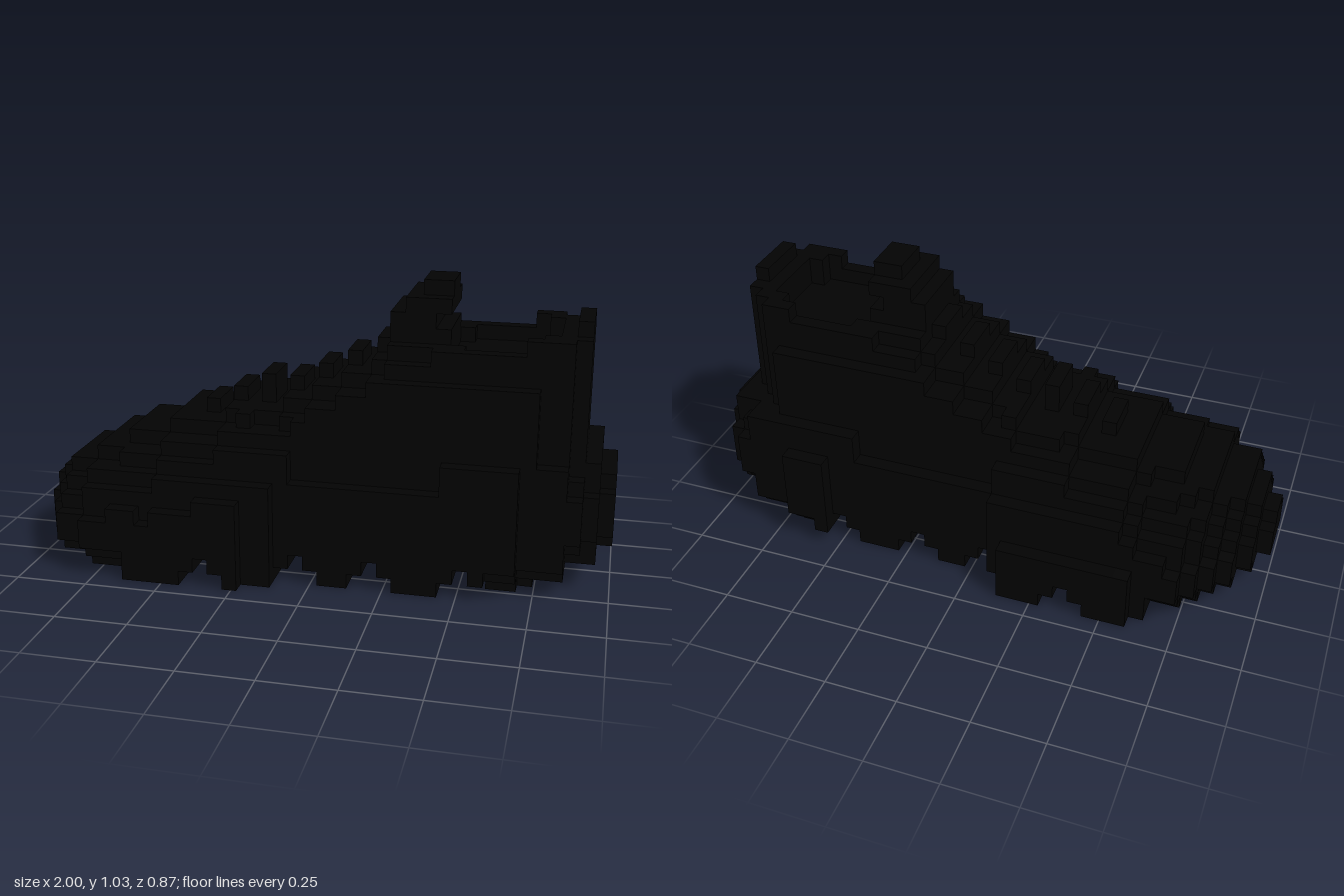
import * as THREE from 'three';

// Grid: 39 cells long (x), 20 high (y), 17 deep (z)
const NX = 39, NY = 20, R = 8, S = 2 / NX;

// [value, count] runs expanded to one value per column, toe to heel
const runs = (...pairs) => pairs.flatMap(([v, n]) => Array(n).fill(v));
const TOP = runs([5, 1], [6, 1], [7, 2], [8, 2], [9, 3], [10, 4], [11, 4], [12, 2], [13, 2],
  [14, 2], [15, 1], [16, 3], [17, 1], [16, 5], [17, 3], [18, 1], [9, 1], [8, 1]);
const BOTTOM = [2, 1, 1, 1, 0, 0, 0, 0, 0, 0, 0, 1, 2, 1, 0, 0, 0, 1, 2, 1, 0, 0, 1, 2, 1,
  0, 0, 0, 1, 2, 1, 0, 0, 0, 1, 1, 2, 2, 3];
// Plan outline: last filled cell on the back and front sides
const BACK = runs([0, 1], [-2, 1], [-4, 1], [-5, 1], [-6, 1], [-7, 3], [-8, 9], [-7, 1],
  [-6, 12], [-7, 3], [-6, 4], [-5, 1], [-3, 1]);
const FRONT = runs([3, 1], [5, 1], [7, 2], [8, 11], [7, 2], [6, 16], [5, 4], [4, 1], [3, 1]);
// Widest half depth allowed at each height
const CAP = runs([8, 6], [7, 1], [6, 2], [5, 5], [4, 3], [2, 2], [1, 1]);
// Upright collar extent [back, front] at the last heel columns
const COLLAR = { 34: [-4, 4], 35: [-3, 4], 36: [-2, 3] };

// Rounded shell: domed over the toe, upright at the ankle, bulging at the heel
function inBody(i, j, k) {
  const h = TOP[i];
  if (j < BOTTOM[i] || j >= h) return false;
  const p = 3 + 6 * Math.min(1, Math.max(0, (i - 10) / 14));
  const mid = (BACK[i] + FRONT[i]) / 2;
  let half = (FRONT[i] - BACK[i]) / 2;
  if (i < 28) half *= Math.sqrt(1 - ((j + 0.5) / h) ** p);
  if (i > 35 && j < 9) half *= Math.sqrt(1 - ((j - 5) / (i === 38 ? 2.4 : 4.3)) ** 2);
  // rounded lower edge under toe and heel
  if (i < 7 || i > 30) half -= Math.max(0, 2 - j);
  else if (j === 0 && i > 27) half -= 1;
  if (Math.abs(k - mid) > half + 0.5) return false;
  let cap = CAP[j];
  if (k < 0 && j > 3) cap = Math.min(cap, 7);
  if (j >= 7 && i > 17 && i < 28) cap = Math.min(cap, 5);
  if (j >= 16 && i < 28) cap = 2;
  if (Math.abs(k) > cap) return false;
  // heel tab sits slightly off centre
  if (j === 17) return k >= -1;
  const [lo, hi] = (j >= 9 && COLLAR[i]) || [-R, R];
  return k >= lo && k <= hi;
}

// Shallow foot opening with clipped corners
function inOpening(i, j, k) {
  return j >= 15 && i >= 28 && i <= 34 && Math.abs(k) <= (i === 28 || i === 34 ? 2 : 3);
}

function inTongue(i, j, k) {
  if (j < 14 || i < 24 || i > 27 || Math.abs(k) > CAP[j]) return false;
  if (i === 27) return j >= 18;
  return Math.abs(k) <= 2 && j < [18, 19, 20][i - 24];
}

// Lace bars rise above every second column of the instep
const LACE_TOP = { 11: 11, 13: 12, 15: 13, 17: 13, 19: 14, 21: 15, 23: 16 };
function inLace(i, j, k) {
  const t = LACE_TOP[i];
  return t !== undefined && j < t && j >= TOP[i] - 1 && Math.abs(k) <= 1;
}

function partAt(i, j, k) {
  if (i < 0 || i >= NX || j < 0 || j >= NY || Math.abs(k) > R) return null;
  if (inOpening(i, j, k)) return null;
  if (inTongue(i, j, k)) return 'tongue';
  if (inLace(i, j, k)) return 'laces';
  if (inBody(i, j, k)) return j < 3 ? 'sole' : 'upper';
  return null;
}

// Emit only the cube faces that touch empty space
function blockGeometry(name) {
  const pos = [], nor = [];
  const cell = [0, 0, 0];
  for (let i = 0; i < NX; i++) for (let j = 0; j < NY; j++) for (let k = -R; k <= R; k++) {
    if (partAt(i, j, k) !== name) continue;
    const centre = [(i + 0.5) * S - 1, (j + 0.5) * S, k * S];
    for (let a = 0; a < 3; a++) for (const s of [-1, 1]) {
      cell[0] = i; cell[1] = j; cell[2] = k;
      cell[a] += s;
      if (partAt(...cell)) continue;
      const u = (a + 1) % 3, v = (a + 2) % 3;
      const corner = (du, dv) => {
        const c = [...centre], n = [0, 0, 0];
        c[a] += s * S / 2;
        c[u] += du * S / 2 * s;
        c[v] += dv * S / 2;
        n[a] = s;
        pos.push(...c);
        nor.push(...n);
      };
      for (const [du, dv] of [[-1, -1], [1, -1], [1, 1], [-1, -1], [1, 1], [-1, 1]]) corner(du, dv);
    }
  }
  const g = new THREE.BufferGeometry();
  g.setAttribute('position', new THREE.Float32BufferAttribute(pos, 3));
  g.setAttribute('normal', new THREE.Float32BufferAttribute(nor, 3));
  return g;
}

export function createModel() {
  const black = new THREE.MeshStandardMaterial({ color: 0x030303 });
  black.name = 'black';
  const shoe = new THREE.Group();
  shoe.name = 'shoe';
  for (const name of ['sole', 'upper', 'laces', 'tongue']) {
    const mesh = new THREE.Mesh(blockGeometry(name), black);
    mesh.name = name;
    shoe.add(mesh);
  }
  return shoe;
}
